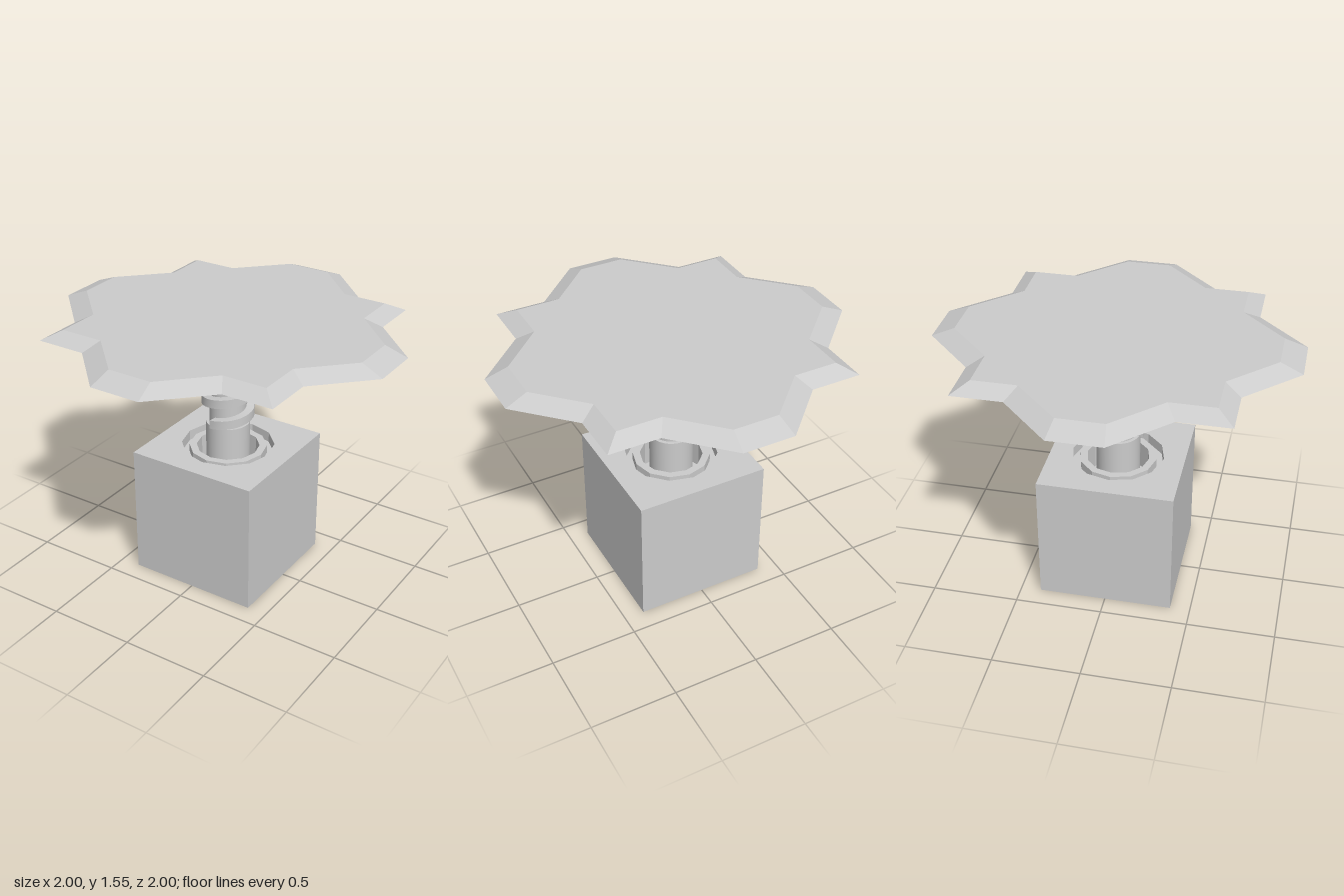
import * as THREE from 'three';
import { toCreasedNormals } from 'three/addons/utils/BufferGeometryUtils.js';

const material = new THREE.MeshStandardMaterial({ color: 0xcccccc });
const flatMaterial = new THREE.MeshStandardMaterial({ color: 0xcccccc, flatShading: true });

function addPart(group, name, geometry, y = 0, mat = material) {
  const mesh = new THREE.Mesh(geometry, mat);
  mesh.name = name;
  mesh.position.y = y;
  group.add(mesh);
}

function cylinder(radius, bottom, top) {
  return new THREE.CylinderGeometry(radius, radius, top - bottom, 32).translate(0, (top + bottom) / 2, 0);
}

// Eight-pointed plate whose rim slopes inwards towards the top
function plateGeometry() {
  const quarter = [[1, 0.145], [0.715, 0.43], [0.715, 0.715], [0.43, 0.715], [0.145, 1]];
  const points = [];
  for (let q = 0; q < 4; q++) {
    for (const [x, y] of quarter) {
      points.push(new THREE.Vector2(x, y).rotateAround(new THREE.Vector2(), q * Math.PI / 2));
    }
  }
  const geometry = new THREE.ExtrudeGeometry(new THREE.Shape(points), { depth: 0.05, bevelEnabled: false });
  geometry.rotateX(-Math.PI / 2);
  const pos = geometry.attributes.position;
  for (let i = 0; i < pos.count; i++) {
    if (pos.getY(i) > 0.025) pos.setXYZ(i, pos.getX(i) * 0.875, pos.getY(i), pos.getZ(i) * 0.875);
  }
  geometry.computeVertexNormals();
  return geometry;
}

// Rectangular section swept along a rising helix
function threadGeometry() {
  const inner = 0.1, outer = 0.15, half = 0.026, pitch = 0.13, steps = 112;
  const start = -0.18, end = Math.PI * 6.5 - 0.13;
  const section = [[inner, -half], [outer, -half], [outer, half], [inner, half]];
  const vertices = [], index = [];
  for (let i = 0; i <= steps; i++) {
    const a = start + (end - start) * i / steps;
    const y = 0.95 + pitch * a / (2 * Math.PI);
    for (const [r, h] of section) vertices.push(r * Math.sin(a), y + h, r * Math.cos(a));
  }
  for (let i = 0; i < steps; i++) {
    for (let k = 0; k < 4; k++) {
      const a = i * 4 + k, b = i * 4 + (k + 1) % 4;
      index.push(a, a + 4, b + 4, a, b + 4, b);
    }
  }
  const e = steps * 4;
  index.push(0, 1, 2, 0, 2, 3, e, e + 2, e + 1, e, e + 3, e + 2);
  const geometry = new THREE.BufferGeometry();
  geometry.setAttribute('position', new THREE.Float32BufferAttribute(vertices, 3));
  geometry.setIndex(index);
  return toCreasedNormals(geometry, 0.6);
}

// Top of the block, pierced by a twelve-sided opening
function blockTopGeometry(half, hole, sides, height) {
  const shape = new THREE.Shape([[-1, -1], [1, -1], [1, 1], [-1, 1]].map(([x, y]) => new THREE.Vector2(x * half, y * half)));
  const opening = [];
  for (let i = 0; i < sides; i++) {
    const a = -i / sides * Math.PI * 2;
    opening.push(new THREE.Vector2(Math.cos(a) * hole, Math.sin(a) * hole));
  }
  shape.holes.push(new THREE.Path(opening));
  return new THREE.ExtrudeGeometry(shape, { depth: height, bevelEnabled: false }).rotateX(-Math.PI / 2);
}

export function createModel() {
  const model = new THREE.Group();
  model.name = 'screwPress';
  const half = 0.385, floor = 0.6, top = 0.77;

  // Block with a recessed socket
  addPart(model, 'blockBase', new THREE.BoxGeometry(half * 2, floor, half * 2), floor / 2);
  addPart(model, 'blockTop', blockTopGeometry(half, 0.265, 12, top - floor), floor);
  const socket = [[0.265, 0.71], [0.222, 0.71], [0.222, 0.76], [0.18, 0.76], [0.18, floor]];
  const socketProfile = socket.map(([r, y]) => new THREE.Vector2(r, y)).reverse();
  const socketMaterial = flatMaterial.clone();
  socketMaterial.side = THREE.DoubleSide;
  addPart(model, 'socketRing', new THREE.LatheGeometry(socketProfile, 12), 0, socketMaterial);

  // Screw
  addPart(model, 'collar', cylinder(0.125, floor, 0.92));
  addPart(model, 'rod', cylinder(0.105, 0.92, 1.5));
  addPart(model, 'thread', threadGeometry());

  // Plate
  addPart(model, 'plate', plateGeometry(), 1.5, flatMaterial);
  return model;
}
